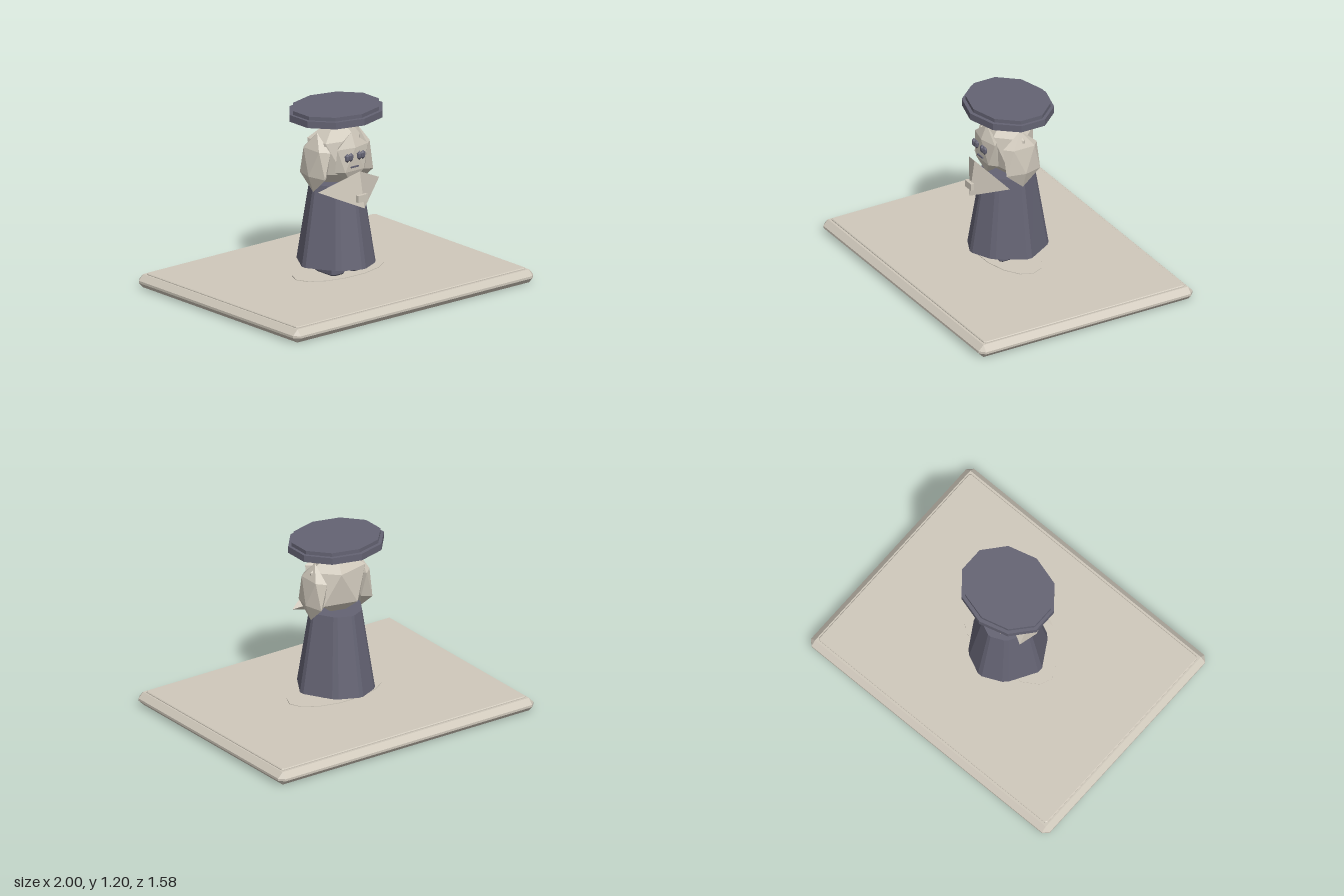
import * as THREE from 'three';

const stone = new THREE.MeshStandardMaterial({ color: 0xcfc8bb, flatShading: true });
stone.name = 'warm stone';
const slate = new THREE.MeshStandardMaterial({ color: 0x646373, flatShading: true });
slate.name = 'slate grey';

// Joins rings of [x, z] points, each at its own height, and caps both ends
function loft(layers) {
  const n = layers[0].ring.length;
  const pos = [];
  const put = (y, p) => pos.push(p[0], y, p[1]);
  for (let k = 0; k < layers.length - 1; k++) {
    const a = layers[k], b = layers[k + 1];
    for (let i = 0; i < n; i++) {
      const j = (i + 1) % n;
      put(a.y, a.ring[i]); put(a.y, a.ring[j]); put(b.y, b.ring[j]);
      put(a.y, a.ring[i]); put(b.y, b.ring[j]); put(b.y, b.ring[i]);
    }
  }
  const lo = layers[0], hi = layers[layers.length - 1];
  for (let i = 0; i < n; i++) {
    const j = (i + 1) % n;
    put(lo.y, [0, 0]); put(lo.y, lo.ring[j]); put(lo.y, lo.ring[i]);
    put(hi.y, [0, 0]); put(hi.y, hi.ring[i]); put(hi.y, hi.ring[j]);
  }
  const g = new THREE.BufferGeometry();
  g.setAttribute('position', new THREE.Float32BufferAttribute(pos, 3));
  g.computeVertexNormals();
  return g;
}

// Rectangle ring with cut corners
const rect = (w, d, c) => [
  [w - c, d], [w, d - c], [w, -d + c], [w - c, -d],
  [-w + c, -d], [-w, -d + c], [-w, d - c], [-w + c, d],
];

// Twenty-sided gem standing on a point
function gem(rx, ry, rz, turn = 0) {
  const g = new THREE.IcosahedronGeometry(1, 0);
  g.rotateZ(-Math.atan(2 / (1 + Math.sqrt(5))));
  g.rotateY(turn);
  g.scale(rx, ry, rz);
  g.computeVertexNormals();
  return g;
}

export function createModel() {
  const model = new THREE.Group();
  model.name = 'robedFigureOnPlinth';
  const add = (name, geo, mat, x = 0, y = 0, z = 0) => {
    const m = new THREE.Mesh(geo, mat);
    m.name = name;
    m.position.set(x, y, z);
    model.add(m);
    return m;
  };

  // Bevelled plinth with a slightly raised top
  add('plinth', loft([
    { y: 0, ring: rect(0.965, 0.755, 0) },
    { y: 0.035, ring: rect(1, 0.79, 0.035) },
    { y: 0.05, ring: rect(1, 0.79, 0.035) },
    { y: 0.087, ring: rect(0.965, 0.755, 0) },
  ]), stone);
  add('plinthTop', loft([
    { y: 0.08, ring: rect(0.955, 0.74, 0.01) },
    { y: 0.092, ring: rect(0.955, 0.74, 0.01) },
    { y: 0.097, ring: rect(0.95, 0.735, 0.01) },
  ]), stone);

  // Thin oval disc under the feet
  const disc = new THREE.CylinderGeometry(1, 1, 0.004, 14);
  disc.rotateY(Math.PI / 2);
  disc.scale(0.35, 1, 0.18);
  add('groundDisc', disc, stone, 0, 0.11, 0.02);

  // Feet
  for (const [name, x] of [['leftFoot', 0.078], ['rightFoot', -0.086]]) {
    add(name, loft([
      { y: 0.112, ring: rect(0.045, 0.085, 0.012) },
      { y: 0.122, ring: rect(0.054, 0.094, 0.015) },
      { y: 0.19, ring: rect(0.054, 0.094, 0.015) },
    ]), slate, x, 0, 0.04);
  }

  // Eight-panelled robe with narrow seams at the corners
  const quarter = [[0.016, 0.274], [0.138, 0.218], [0.168, 0.19], [0.27, 0.018]];
  const half = [...quarter, ...quarter.slice().reverse().map(([x, z]) => [x, -z])];
  const hem = [...half, ...half.slice().reverse().map(([x, z]) => [-x, z])];
  const waist = hem.map(([x, z]) => [x * 0.67, z * 0.665]);
  add('robe', loft([{ y: 0.172, ring: hem }, { y: 0.705, ring: waist }]), slate);

  // Hair mass, side locks and face
  add('hair', gem(0.225, 0.24, 0.172), stone, 0, 0.885, 0);
  for (const s of [1, -1]) {
    const lock = add(s > 0 ? 'leftLock' : 'rightLock',
      gem(0.055, 0.195, 0.145, s > 0 ? Math.PI : 0), stone, s * 0.178, 0.853, 0.005);
    lock.rotation.z = s * 0.08;
  }
  add('face', gem(0.148, 0.172, 0.046, -Math.PI / 2), stone, -0.005, 0.885, 0.155);

  // Eyes, each of two small lobes, and mouth
  for (const [name, x] of [['leftEye', 0.037], ['rightEye', -0.064]]) {
    for (const s of [1, -1]) {
      add(name, gem(0.021, 0.031, 0.016, s > 0 ? Math.PI : 0), slate, x + s * 0.015, 0.908, 0.203);
    }
  }
  add('mouth', new THREE.BoxGeometry(0.062, 0.009, 0.008), slate, -0.012, 0.838, 0.198);

  // Pointed beard: a four-cornered wedge swept back at the sides
  const top = [-0.008, 0.817, 0.243], tip = [-0.003, 0.578, 0.282];
  const left = [0.247, 0.7, 0.132], right = [-0.263, 0.7, 0.132];
  const beard = new THREE.BufferGeometry();
  beard.setAttribute('position', new THREE.Float32BufferAttribute([
    ...top, ...right, ...tip,
    ...top, ...tip, ...left,
    ...top, ...left, ...right,
    ...tip, ...right, ...left,
  ], 3));
  beard.computeVertexNormals();
  add('beard', beard, stone);

  // Clasp
  add('clasp', new THREE.BoxGeometry(0.078, 0.046, 0.022), stone, -0.017, 0.648, 0.274);

  // Two-tier flat hat hovering over the head
  for (const [name, rx, rz, y, h] of [
    ['hatBrim', 0.328, 0.28, 1.1525, 0.045], ['hatTop', 0.308, 0.256, 1.1875, 0.025],
  ]) {
    const g = new THREE.CylinderGeometry(1, 1, h, 10);
    g.scale(rx, 1, rz);
    add(name, g, slate, 0, y, 0);
  }

  return model;
}
